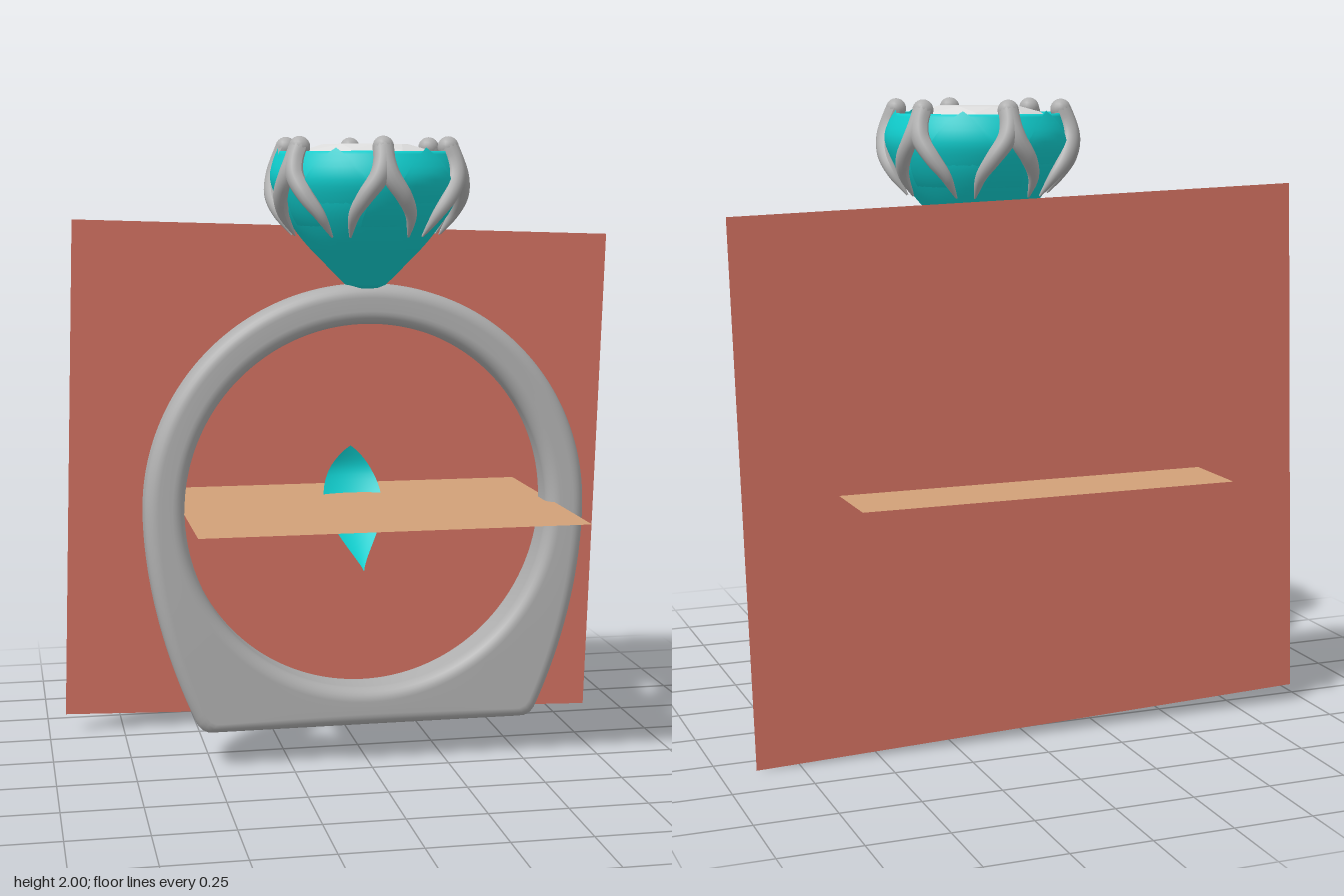
import * as THREE from 'three';
import { mergeVertices } from 'three/addons/utils/BufferGeometryUtils.js';
import { ConvexGeometry } from 'three/addons/geometries/ConvexGeometry.js';

const V2 = (x, y) => new THREE.Vector2(x, y);
const V3 = (x, y, z) => new THREE.Vector3(x, y, z);

// Smooth surface from a rule fn(i, j) -> Vector3; coincident seams are welded
function surface(nu, nv, fn) {
  const pos = [], idx = [];
  for (let i = 0; i <= nu; i++) for (let j = 0; j <= nv; j++) pos.push(...fn(i, j).toArray());
  for (let i = 0; i < nu; i++) for (let j = 0; j < nv; j++) {
    const a = i * (nv + 1) + j, b = a + nv + 1;
    idx.push(a, b, a + 1, b, b + 1, a + 1);
  }
  let g = new THREE.BufferGeometry();
  g.setAttribute('position', new THREE.Float32BufferAttribute(pos, 3));
  g.setIndex(idx);
  g = mergeVertices(g, 1e-5);
  g.computeVertexNormals();
  return g;
}

// Flat-bottomed band: rounded rectangular section swept around a round finger hole
function bandGeometry() {
  const s = new THREE.Shape();
  const R = 0.712;
  s.moveTo(0, -0.71);
  s.lineTo(0.51, -0.71);
  s.quadraticCurveTo(0.545, -0.71, 0.56, -0.67);
  s.bezierCurveTo(0.66, -0.45, R, -0.2, R, 0);
  s.absarc(0, 0, R, 0, Math.PI, false);
  s.bezierCurveTo(-R, -0.2, -0.66, -0.45, -0.56, -0.67);
  s.quadraticCurveTo(-0.545, -0.71, -0.51, -0.71);
  s.lineTo(0, -0.71);
  const N = 220, outer = s.getSpacedPoints(N), c = 0.042, seg = 6, M = 4 * (seg + 1);
  return surface(N, M, (i, j) => {
    const o = outer[i % N], len = o.length(), dir = o.clone().normalize();
    const w = 0.085 - 0.022 * THREE.MathUtils.smoothstep(o.y, -0.5, 0.71);
    const k = j % M, q = Math.floor(k / (seg + 1));
    const a = (q + (k % (seg + 1)) / seg) * Math.PI / 2;
    const mid = (len + 0.586) / 2, half = (len - 0.586) / 2;
    const sx = q === 0 || q === 3 ? 1 : -1, sz = q < 2 ? 1 : -1;
    const r = mid + sx * (half - c) + c * Math.cos(a);
    return V3(dir.x * r, dir.y * r, sz * (w - c) + c * Math.sin(a));
  });
}

// Curved leaf bulging towards +z, pointed at its foot
const leafLine = new THREE.SplineCurve([V2(0.005, 0), V2(0.08, 0.055), V2(0.15, 0.12),
  V2(0.212, 0.19), V2(0.25, 0.26), V2(0.26, 0.31), V2(0.24, 0.378)]);
function leafGeometry(width, scale = 1, reach = 1, lift = 0) {
  const nu = 28, nv = 12;
  return surface(nu, nv, (i, j) => {
    const v = i / nu, p = leafLine.getPointAt(v * reach);
    const r = p.x * scale + lift;
    const hw = Math.min(width * Math.pow(Math.max(0, Math.sin(Math.PI * Math.pow(v, 1.45))), 0.85), r * 0.95);
    const x = (j / nv * 2 - 1) * hw;
    return V3(x, p.y * scale, Math.sqrt(r * r - x * x));
  });
}

// Tube whose radius follows a rule along its length
function taperedTube(curve, n, sides, radius) {
  const g = new THREE.TubeGeometry(curve, n, 1, sides, false), p = g.attributes.position, v = V3(0, 0, 0);
  for (let i = 0; i <= n; i++) {
    const c = curve.getPointAt(i / n), r = radius(i / n);
    for (let j = 0; j <= sides; j++) {
      const k = i * (sides + 1) + j;
      v.fromBufferAttribute(p, k).sub(c).multiplyScalar(r).add(c);
      p.setXYZ(k, v.x, v.y, v.z);
    }
  }
  g.computeVertexNormals();
  return g;
}

// Faceted stone: table, crown, girdle and pavilion point
function gemGeometry() {
  const pts = [V3(0, 1.62, 0)];
  const ring = (n, r, y, off) => {
    for (let i = 0; i < n; i++) {
      const a = (i + off) / n * Math.PI * 2;
      pts.push(V3(Math.sin(a) * r, y, Math.cos(a) * r));
    }
  };
  ring(8, 0.135, 1.977, 0);
  ring(8, 0.2, 1.958, 0.5);
  ring(16, 0.258, 1.925, 0);
  ring(16, 0.258, 1.915, 0);
  return new ConvexGeometry(pts);
}

export function createModel() {
  const model = new THREE.Group();
  model.name = 'ring';
  const material = (name, color, opts = {}) => {
    const m = new THREE.MeshStandardMaterial({ color, ...opts });
    m.name = name;
    return m;
  };
  const both = { side: THREE.DoubleSide };
  const metal = material('grey metal', 0xb0b0b0);
  const teal = material('teal', 0x10d0d0, both);
  const stone = material('pale stone', 0xdcdcdc, { flatShading: true });
  const red = material('red', 0xd07060, both);
  const tan = material('tan', 0xd2a078, both);
  const add = (parent, name, geo, mat) => {
    const m = new THREE.Mesh(geo, mat);
    m.name = name;
    parent.add(m);
    return m;
  };

  // Band
  add(model, 'band', bandGeometry(), metal).position.set(0.006, 0.83, 0.103);

  // Head: cup, leaves, stone and prongs
  const head = new THREE.Group();
  head.name = 'head';
  head.position.set(0.006, 0, 0.103);
  model.add(head);
  const cupLine = new THREE.SplineCurve([V2(0.055, 1.53), V2(0.125, 1.6), V2(0.2, 1.68), V2(0.262, 1.77),
    V2(0.29, 1.85), V2(0.288, 1.9), V2(0.27, 1.955)]);
  const cup = [V2(0, 1.53), ...cupLine.getPoints(24), V2(0.256, 1.952), V2(0.25, 1.9)];
  add(head, 'cup', new THREE.LatheGeometry(cup, 60), teal);
  add(head, 'gem', gemGeometry(), stone);

  const wide = leafGeometry(0.135, 1.15, 1, 0.001);
  const narrow = leafGeometry(0.06, 1.15, 0.84, 0.008);
  const legs = [-1, 1].map(s => {
    const at = (a, r, y) => V3(Math.sin(s * a) * r, y, Math.cos(a) * r);
    const path = new THREE.CatmullRomCurve3([at(0, 0.268, 1.967), at(0.01, 0.287, 1.925), at(0.06, 0.3, 1.88),
      at(0.2, 0.298, 1.82), at(0.32, 0.277, 1.765), at(0.4, 0.232, 1.695)]);
    return taperedTube(path, 28, 12, t => 0.033 - 0.009 * t - 0.021 * t * t * t);
  });
  const tip = new THREE.SphereGeometry(0.033, 16, 12);
  for (let k = 0; k < 6; k++) {
    const side = new THREE.Group();
    side.name = 'prongSide';
    side.rotation.y = k * Math.PI / 3;
    head.add(side);
    const leaf = add(side, 'wideLeaf', wide, teal);
    leaf.position.y = 1.53;
    leaf.rotation.y = Math.PI / 6;
    add(side, 'narrowLeaf', narrow, teal).position.y = 1.53;
    legs.forEach(g => add(side, 'prongLeg', g, metal));
    add(side, 'prongTip', tip, metal).position.set(0, 1.967, 0.268);
  }

  // Loose leaf inside the band
  const loose = add(model, 'looseLeaf', leafGeometry(0.097), teal);
  loose.position.set(0.003, 0.612, 0.1);
  loose.rotation.y = Math.PI;

  // Upright and level sheets
  const back = add(model, 'uprightSheet', new THREE.PlaneGeometry(1.831, 1.671), red);
  back.position.set(-0.002, 0.87, -0.335);
  back.rotation.z = -0.0328;
  const level = add(model, 'levelSheet', new THREE.PlaneGeometry(1.2, 1.145), tan);
  level.position.set(0.015, 0.833, -0.002);
  level.rotation.x = -Math.PI / 2;

  return model;
}
